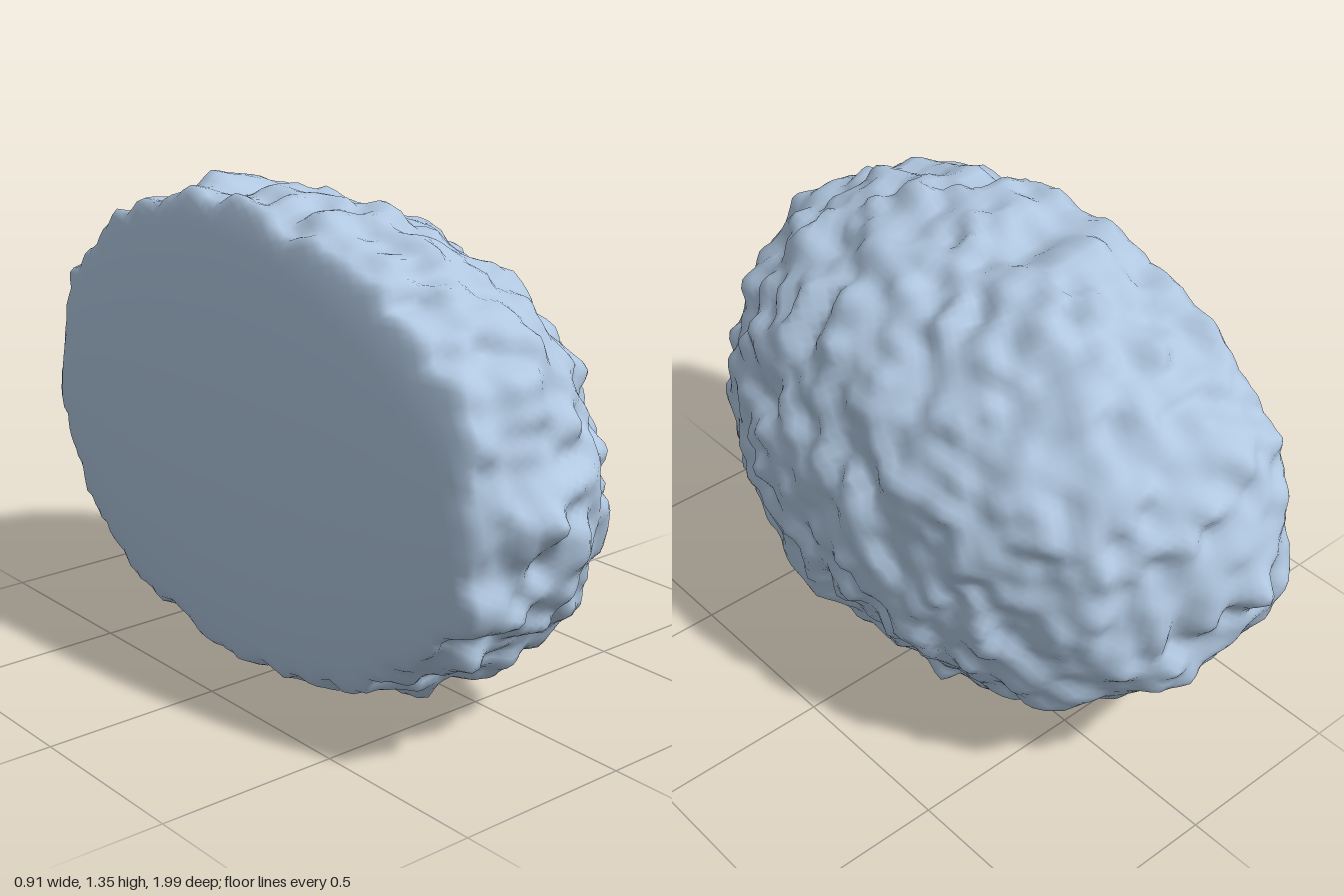
import * as THREE from 'three';
import { mergeVertices } from 'three/addons/utils/BufferGeometryUtils.js';

// seeded lattice value in -1..1
function hash(i, j, k) {
  let h = Math.imul(i, 374761393) ^ Math.imul(j, 668265263) ^ Math.imul(k, 1274126177);
  h = Math.imul(h ^ (h >>> 13), 1103515245);
  h = Math.imul(h ^ (h >>> 16), 2246822519);
  return ((h ^ (h >>> 15)) >>> 0) / 2147483648 - 1;
}

// smooth interpolated noise
function noise(x, y, z) {
  const c = [x, y, z].map(Math.floor);
  const [u, v, w] = [x - c[0], y - c[1], z - c[2]].map((t) => t * t * (3 - 2 * t));
  let sum = 0;
  for (let n = 0; n < 8; n++) {
    const a = n & 1, b = (n >> 1) & 1, d = n >> 2;
    sum += hash(c[0] + a, c[1] + b, c[2] + d) *
      (a ? u : 1 - u) * (b ? v : 1 - v) * (d ? w : 1 - w);
  }
  return sum;
}

// shallow domed cut, as x measured from the centre; it rolls off at the rim
function cutFace(y, z) {
  const r2 = (y / 0.68) ** 2 + (z / 0.93) ** 2;
  return -0.27 + 0.055 * r2 + 0.03 * r2 ** 3;
}

export function createModel() {
  const group = new THREE.Group();
  const stone = new THREE.MeshStandardMaterial({ color: 0xb0c7e0 });
  stone.name = 'blueGreyStone';

  let geo = new THREE.IcosahedronGeometry(1, 34);
  geo.deleteAttribute('normal');
  geo.deleteAttribute('uv');
  geo = mergeVertices(geo, 1e-4);

  const p = geo.attributes.position;
  const centre = new THREE.Vector3(-0.2, 0.69, 0);
  const radii = new THREE.Vector3(0.615, 0.65, 0.93);
  const v = new THREE.Vector3(), d = new THREE.Vector3();

  for (let i = 0; i < p.count; i++) {
    // slightly boxy ellipsoid
    d.fromBufferAttribute(p, i).normalize();
    const e = 2.12;
    const s = (Math.abs(d.x) ** e + Math.abs(d.y) ** e + Math.abs(d.z) ** e) ** (-1 / e);
    v.copy(d).multiplyScalar(s).multiply(radii);

    // lumps and fine roughness, with a small knob on each long end
    const rough = 0.01 * noise(v.x * 4 + 9, v.y * 4 + 5, v.z * 4 + 7) +
      0.022 * noise(v.x * 8 + 31, v.y * 8 + 17, v.z * 8 + 23) +
      0.034 * noise(v.x * 16 + 3, v.y * 16 + 11, v.z * 16 + 41);
    const knob = Math.exp(-(d.x ** 2 + d.y ** 2) / 0.006);
    const bump = rough * (1 - knob) + 0.07 * knob;
    v.multiplyScalar(1 + bump / v.length());

    // lean: fuller low on the outer side, slimmer high up
    v.x -= 0.1 * v.y;

    // slice one side off along the domed cut
    if (v.x < cutFace(v.y, v.z)) {
      let lo = 0, hi = 1;
      for (let n = 0; n < 20; n++) {
        const t = (lo + hi) / 2;
        if (v.x * t < cutFace(v.y * t, v.z * t)) hi = t;
        else lo = t;
      }
      v.multiplyScalar(lo);
    }
    v.add(centre);
    p.setXYZ(i, v.x, v.y, v.z);
  }
  geo.computeVertexNormals();

  const rock = new THREE.Mesh(geo, stone);
  rock.name = 'slicedBoulder';
  group.add(rock);
  return group;
}
